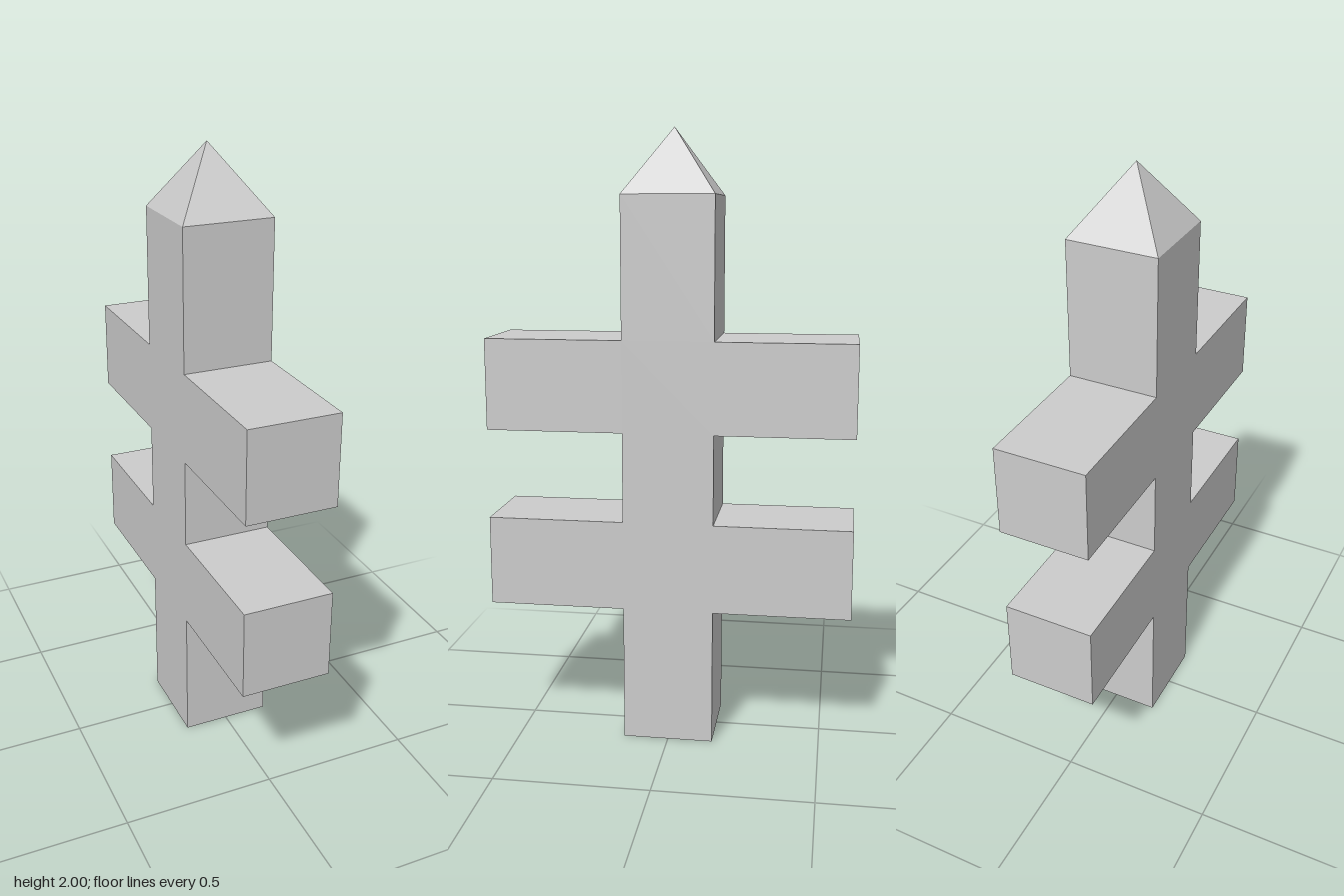
import * as THREE from 'three';

export function createModel() {
  const group = new THREE.Group();
  const material = new THREE.MeshStandardMaterial({ color: 0xcccccc, flatShading: true });
  const half = 0.148, reach = 0.596, shoulder = 1.79;

  // Post with two crossbars: one half of the outline, mirrored, then extruded
  const side = [
    [half, 0], [half, 0.45], [reach, 0.45], [reach, 0.745], [half, 0.745],
    [half, 1.04], [reach, 1.04], [reach, 1.338], [half, 1.338], [half, shoulder],
  ];
  const mirrored = side.map(([z, y]) => [-z, y]).reverse();
  const outline = new THREE.Shape([...side, ...mirrored].map(([z, y]) => new THREE.Vector2(z, y)));
  const bodyGeometry = new THREE.ExtrudeGeometry(outline, { depth: 2 * half, bevelEnabled: false });
  bodyGeometry.translate(0, 0, -half).rotateY(Math.PI / 2);
  const body = new THREE.Mesh(bodyGeometry, material);
  body.name = 'postWithCrossbars';
  group.add(body);

  // Four-sided point, its apex leaning slightly to the right
  const height = 2 - shoulder;
  const pointGeometry = new THREE.ConeGeometry(half * Math.SQRT2, height, 4, 1, true);
  pointGeometry.rotateY(Math.PI / 4).translate(0, shoulder + height / 2, 0);
  const position = pointGeometry.attributes.position;
  for (let i = 0; i < position.count; i++) {
    if (position.getY(i) > 1.99) position.setX(i, -0.008);
  }
  pointGeometry.computeVertexNormals();
  const point = new THREE.Mesh(pointGeometry, material);
  point.name = 'point';
  group.add(point);

  return group;
}
